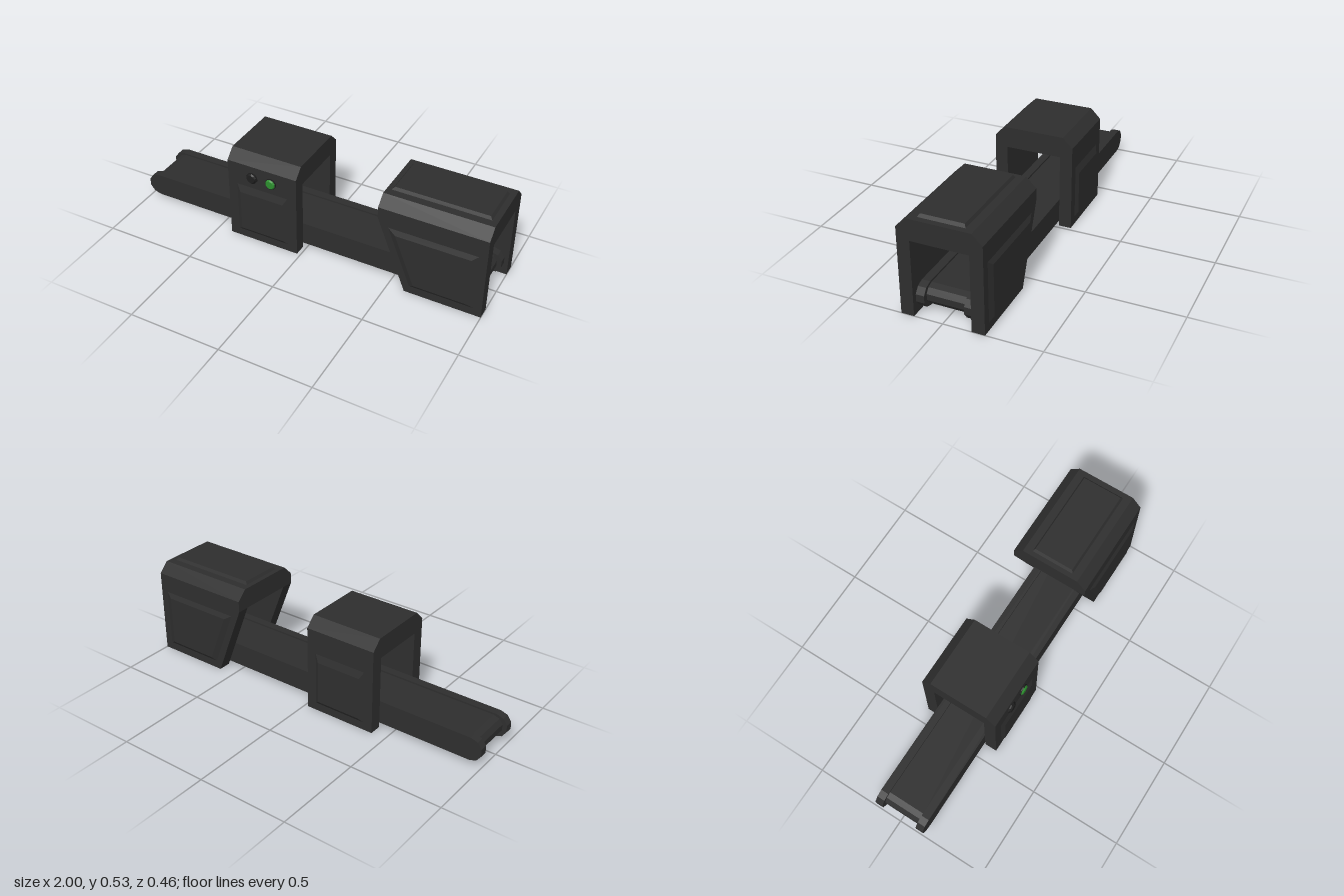
import * as THREE from 'three';
import { ConvexGeometry } from 'three/addons/geometries/ConvexGeometry.js';

const casing = new THREE.MeshStandardMaterial({ name: 'charcoal casing', color: 0x2e2e2e });
const dark = new THREE.MeshStandardMaterial({ name: 'dark button', color: 0x1e1e1e });
const green = new THREE.MeshStandardMaterial({ name: 'green light', color: 0x2c8e2e });

function add(parent, name, geometry, material = casing) {
  const mesh = new THREE.Mesh(geometry, material);
  mesh.name = name;
  parent.add(mesh);
  return mesh;
}

// Convex solid between two matching outlines of [x, y] points at depths z0 and z1
function loft(outlineA, z0, outlineB, z1) {
  return new ConvexGeometry([
    ...outlineA.map(([x, y]) => new THREE.Vector3(x, y, z0)),
    ...outlineB.map(([x, y]) => new THREE.Vector3(x, y, z1)),
  ]);
}

// Long bar with faceted round ends, running from x0 to x1 and spanning z0 to z1
function roundedBar(x0, x1, radius, y, z0, z1) {
  const points = [];
  const steps = 5;
  for (let end = 0; end < 2; end++) {
    const cx = end ? x0 + radius : x1 - radius;
    for (let i = 0; i <= steps; i++) {
      const a = -Math.PI / 2 + end * Math.PI + (i / steps) * Math.PI;
      points.push([cx + radius * Math.cos(a), y + radius * Math.sin(a)]);
    }
  }
  return loft(points, z0, points, z1);
}

// Arch over the belt: chamfered bridge, two legs and a raised panel on each side
function makeArch(name, xTop, xFoot, x1, panelBase, panelFace) {
  const arch = new THREE.Group();
  arch.name = name;
  const bridge = [];
  for (const x of [xTop, x1]) {
    for (const s of [-1, 1]) {
      for (const [z, y] of [[0.215, 0.405], [0.215, 0.465], [0.162, 0.518]]) {
        bridge.push(new THREE.Vector3(x, y, s * z));
      }
    }
  }
  add(arch, 'bridge', new ConvexGeometry(bridge));
  const leg = [[xFoot, 0], [x1, 0], [x1, 0.405], [xTop, 0.405]];
  for (const s of [-1, 1]) {
    const side = s > 0 ? 'front' : 'back';
    add(arch, side + 'Leg', loft(leg, s * 0.148, leg, s * 0.215));
    add(arch, side + 'Panel', loft(panelBase, s * 0.214, panelFace, s * 0.227));
  }
  return arch;
}

const rect = (x0, x1, y0, y1) => [[x0, y0], [x1, y0], [x1, y1], [x0, y1]];

export function createModel() {
  const model = new THREE.Group();
  model.name = 'conveyor';

  // Belt and its side rails
  const conveyor = new THREE.Group();
  conveyor.name = 'beltAssembly';
  add(conveyor, 'belt', roundedBar(-0.975, 0.957, 0.053, 0.09, -0.103, 0.103));
  for (const s of [-1, 1]) {
    add(conveyor, s > 0 ? 'frontRail' : 'backRail',
      roundedBar(-1, 0.982, 0.064, 0.089, s * 0.102, s * 0.145));
  }
  model.add(conveyor);

  // Straight middle arch
  const middle = makeArch('middleArch', -0.42, -0.42, -0.02,
    rect(-0.37, -0.07, 0.042, 0.338), rect(-0.345, -0.095, 0.062, 0.295));
  model.add(middle);

  // Slanted end arch
  const end = makeArch('endArch', 0.432, 0.592, 1,
    [[0.615, 0.042], [0.96, 0.042], [0.96, 0.365], [0.486, 0.365]],
    [[0.642, 0.062], [0.925, 0.062], [0.925, 0.336], [0.533, 0.336]]);
  const lid = add(end, 'topPlate',
    loft(rect(0.457, 0.97, -0.12, 0.12), 0, rect(0.469, 0.958, -0.11, 0.11), 0.016));
  lid.rotation.x = -Math.PI / 2;
  lid.position.y = 0.517;
  model.add(end);

  // Push buttons on the middle arch
  for (const [name, x, material] of [['darkButton', -0.276, dark], ['greenButton', -0.166, green]]) {
    const button = new THREE.Group();
    button.name = name;
    const collar = add(button, 'collar', new THREE.CylinderGeometry(0.032, 0.032, 0.008, 10).toNonIndexed(), dark);
    const cap = add(button, 'cap', new THREE.CylinderGeometry(0.022, 0.029, 0.008, 10).toNonIndexed(), material);
    for (const part of [collar, cap]) {
      part.geometry.computeVertexNormals();
      part.rotation.x = Math.PI / 2;
    }
    collar.position.z = 0.218;
    cap.position.z = 0.2255;
    button.position.set(x, 0.398, 0);
    middle.add(button);
  }

  return model;
}
